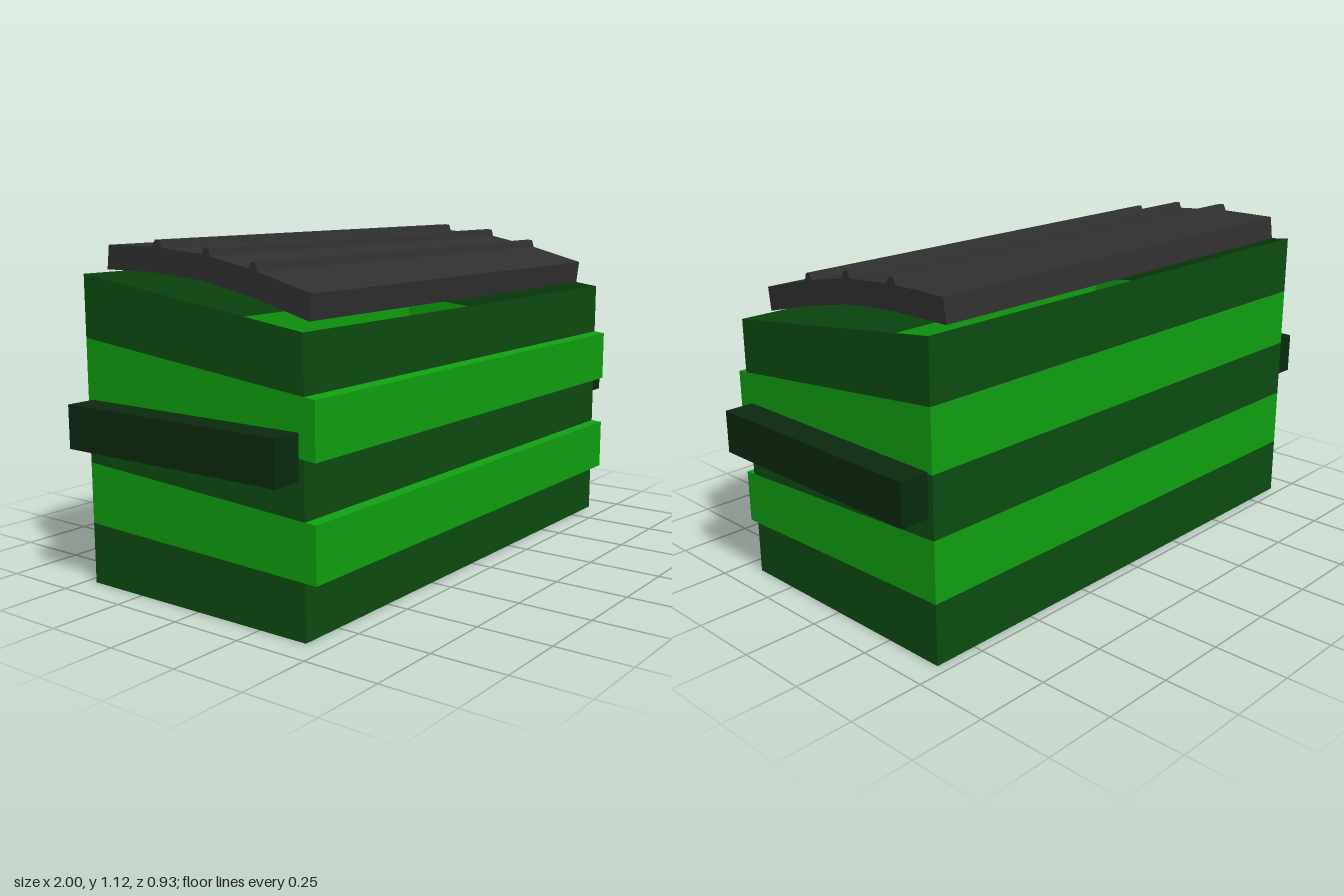
import * as THREE from 'three';

const mat = (name, color, side = THREE.FrontSide) => {
  const m = new THREE.MeshStandardMaterial({ color, side });
  m.name = name;
  return m;
};

// Geometry from a list of four-cornered faces (counter-clockwise from outside)
function quads(list) {
  const pos = [];
  for (const [a, b, c, d] of list) pos.push(...a, ...b, ...c, ...a, ...c, ...d);
  const g = new THREE.BufferGeometry();
  g.setAttribute('position', new THREE.Float32BufferAttribute(pos, 3));
  g.computeVertexNormals();
  return g;
}

export function createModel() {
  const darkGreen = mat('dark green', 0x0c4c10, THREE.DoubleSide);
  const brightGreen = mat('bright green', 0x10a010, THREE.DoubleSide);
  const railGreen = mat('blackish green', 0x0a2a0e);
  const lidGrey = mat('charcoal', 0x303030);

  const model = new THREE.Group();
  model.name = 'wasteContainer';
  const add = (name, geometry, material, parent = model) => {
    const mesh = new THREE.Mesh(geometry, material);
    mesh.name = name;
    parent.add(mesh);
    return mesh;
  };

  // Open body: five bands that fan out towards the taller back
  const W = 0.9, BACK = -0.465, FRONT = 0.425, RIB = 0.465;
  const height = z => 0.893 + (1.012 - 0.893) * (FRONT - z) / (FRONT - BACK);
  const body = new THREE.Group();
  body.name = 'body';
  model.add(body);
  for (let i = 0; i < 5; i++) {
    const rib = i % 2 === 1;
    const zf = rib ? RIB : FRONT;
    const p = (x, z, k) => [x, height(z) * k / 5, z];
    const ring = [[W, zf], [W, BACK], [-W, BACK], [-W, zf]];
    const faces = ring.map(([x, z], j) => {
      const [x2, z2] = ring[(j + 1) % 4];
      return [p(x, z, i), p(x2, z2, i), p(x2, z2, i + 1), p(x, z, i + 1)];
    });
    // Ledges above and below the raised front ribs
    if (rib) {
      faces.push([p(-W, RIB, i + 1), p(W, RIB, i + 1), p(W, FRONT, i + 1), p(-W, FRONT, i + 1)]);
      faces.push([p(-W, FRONT, i), p(W, FRONT, i), p(W, RIB, i), p(-W, RIB, i)]);
    }
    // Floor
    if (i === 0) faces.push([p(-W, BACK, 0), p(W, BACK, 0), p(W, FRONT, 0), p(-W, FRONT, 0)]);
    add(rib ? 'raisedBand' : 'plainBand', quads(faces), rib ? brightGreen : darkGreen, body);
  }

  // Side lifting rails, passing through the walls
  for (const s of [-1, 1]) {
    const rail = add(s > 0 ? 'leftRail' : 'rightRail', new THREE.BoxGeometry(0.165, 0.142, 0.85), railGreen);
    rail.position.set(s * 0.9175, 0.541, -0.02);
  }

  // Bent lid with three crosswise ridges, as (z, y) profile
  const profile = [
    [0.38, 0.912], [0.39, 0.99],
    [0.19, 1.042], [0.182, 1.068], [0.165, 1.07], [0.155, 1.05],
    [0.003, 1.08], [-0.003, 1.104], [-0.022, 1.107], [-0.03, 1.085],
    [-0.2, 1.098], [-0.208, 1.121], [-0.228, 1.122], [-0.238, 1.1],
    [-0.437, 1.1], [-0.447, 1.022], [-0.235, 1.022], [-0.03, 1.006], [0.17, 0.967],
  ];
  const shape = new THREE.Shape(profile.map(([z, y]) => new THREE.Vector2(z, y)));
  const lid = new THREE.ExtrudeGeometry(shape, { depth: 1.635, bevelEnabled: false });
  lid.translate(0, 0, -0.8175).rotateY(-Math.PI / 2);
  add('lid', lid, lidGrey);

  return model;
}
